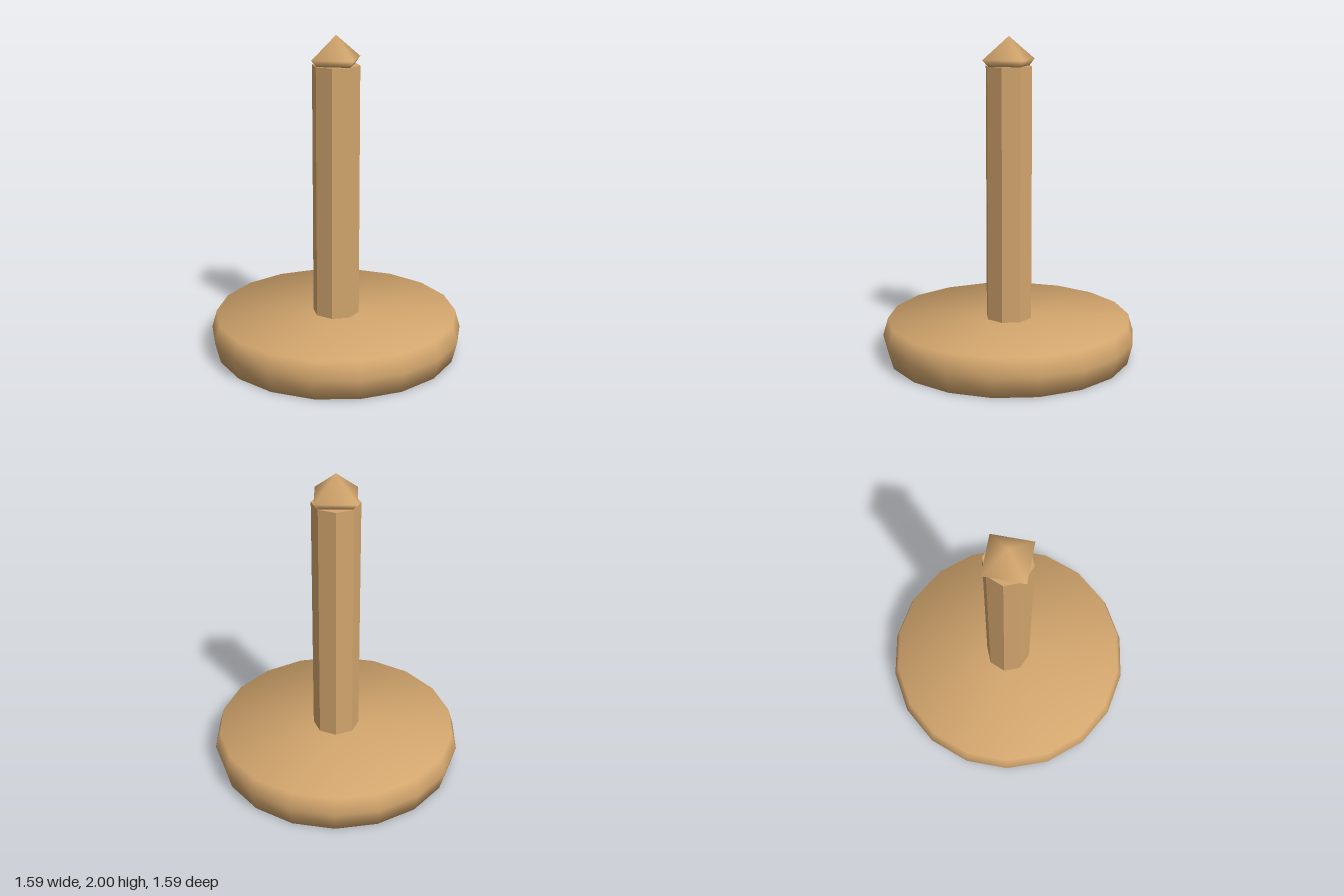
import * as THREE from 'three';
import { mergeVertices } from 'three/addons/utils/BufferGeometryUtils.js';

// Smooth turned solid; profile runs from the bottom axis point to the top one.
function turned(profile, sides, startAngle) {
  const points = profile.map(([r, y]) => new THREE.Vector2(r, y));
  const lathe = new THREE.LatheGeometry(points, sides, startAngle);
  lathe.deleteAttribute('uv');
  lathe.deleteAttribute('normal');
  const geometry = mergeVertices(lathe, 1e-4);
  geometry.computeVertexNormals();
  return geometry;
}

export function createModel() {
  const model = new THREE.Group();
  model.name = 'postOnRoundBase';
  const wood = new THREE.MeshStandardMaterial({ color: 0xd2a56d });
  wood.name = 'light wood';

  const add = (name, geometry) => {
    const mesh = new THREE.Mesh(geometry, wood);
    mesh.name = name;
    model.add(mesh);
    return mesh;
  };

  // Round base with a slightly bulging rim
  const baseGeometry = turned(
    [[0, 0], [0.765, 0], [0.797, 0.13], [0.765, 0.24], [0, 0.24]],
    18, THREE.MathUtils.degToRad(-5));
  // Soften the base: normals lean outward at the edges of the flat faces
  const position = baseGeometry.attributes.position;
  const normal = baseGeometry.attributes.normal;
  const tilt = THREE.MathUtils.degToRad(36);
  for (let i = 0; i < position.count; i++) {
    const x = position.getX(i), y = position.getY(i), z = position.getZ(i);
    const r = Math.hypot(x, z);
    if (r < 0.7 || r > 0.78) continue;
    const out = Math.sin(tilt) / r;
    normal.setXYZ(i, x * out, Math.cos(tilt) * (y > 0.1 ? 1 : -1), z * out);
  }
  add('base', baseGeometry);

  // Eight-sided post with flat facets
  const post = new THREE.CylinderGeometry(0.147, 0.147, 1.58, 8).toNonIndexed();
  post.computeVertexNormals();
  add('post', post).position.y = 1.03;

  // Four-sided pointed finial
  add('finial', turned([[0, 1.82], [0.143, 1.82], [0.18, 1.86], [0, 2]], 4, 0));

  return model;
}
